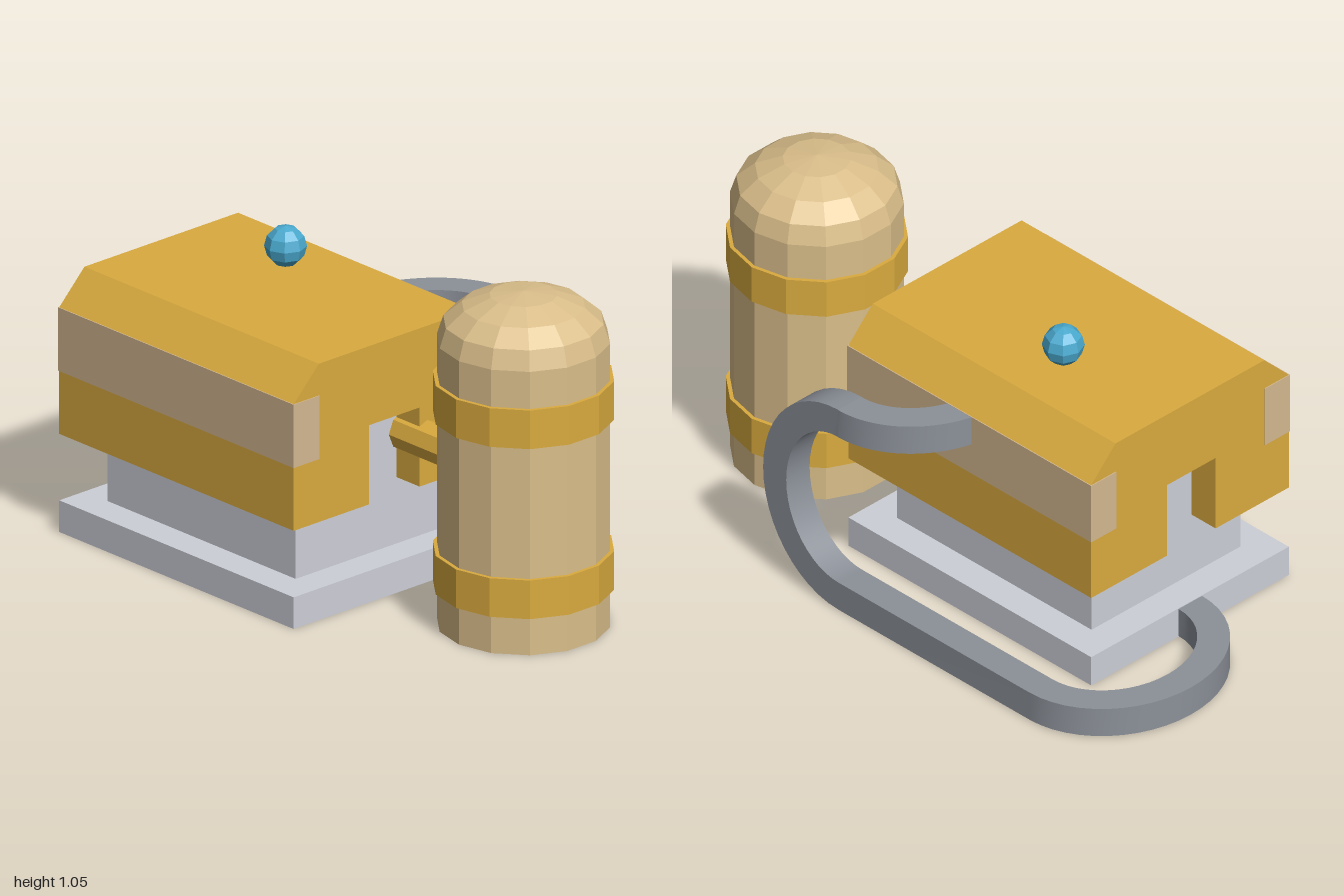
import * as THREE from 'three';

export function createModel() {
  const model = new THREE.Group();
  const paint = (name, color, extra = {}) => {
    const m = new THREE.MeshStandardMaterial({ color, ...extra });
    m.name = name;
    return m;
  };
  const flat = { flatShading: true };
  const gold = paint('gold', 0xdaab3f, flat);
  const sand = paint('sand', 0xdabe8a, flat);
  const tan = paint('tan', 0xd4b890, flat);
  const paleGray = paint('pale gray', 0xcdcfd8, flat);
  const hoseGray = paint('hose gray', 0x8c9199, { side: THREE.DoubleSide });
  const blue = paint('blue', 0x4aaacf, flat);

  const add = (name, geometry, material, x = 0, y = 0, z = 0) => {
    const mesh = new THREE.Mesh(geometry, material);
    mesh.name = name;
    mesh.position.set(x, y, z);
    model.add(mesh);
    return mesh;
  };
  // Box given by its lower and upper corners
  const box = (name, material, [x0, y0, z0], [x1, y1, z1]) =>
    add(name, new THREE.BoxGeometry(x1 - x0, y1 - y0, z1 - z0), material,
      (x0 + x1) / 2, (y0 + y1) / 2, (z0 + z1) / 2);

  // Plinth and inner column
  box('basePlate', paleGray, [-0.69, 0, -0.28], [0.32, 0.1, 0.53]);
  box('innerColumn', paleGray, [-0.59, 0.1, -0.18], [0.22, 0.56, 0.43]);

  // Housing: chamfered section with a slot from z0 to z1, open at the bottom
  const section = (name, x0, x1, z0, z1) => {
    const outline = [[0.53, 0.31], [0.53, 0.71], [0.43, 0.81], [-0.18, 0.81], [-0.28, 0.71],
      [-0.28, 0.31], [z0, 0.31], [z0, 0.56], [z1, 0.56], [z1, 0.31]];
    const shape = new THREE.Shape(outline.map(([z, y]) => new THREE.Vector2(-z, y)));
    const geometry = new THREE.ExtrudeGeometry(shape, { depth: x1 - x0, bevelEnabled: false });
    geometry.rotateY(Math.PI / 2);
    add(name, geometry, gold, x0);
  };
  section('housingShell', -0.59, 0.22, -0.18, 0.43);
  section('rightEndWall', -0.69, -0.59, 0.03, 0.23);
  section('leftEndWall', 0.22, 0.32, 0.03, 0.23);

  // Pale strips wrapping the front and back edges
  const lip = 0.003;
  box('frontStrip', tan, [-0.69 - lip, 0.51, 0.43], [0.32 + lip, 0.71, 0.53 + lip]);
  box('backStrip', tan, [-0.69 - lip, 0.51, -0.28 - lip], [0.32 + lip, 0.71, -0.18]);

  // Knob on top
  add('topKnob', new THREE.SphereGeometry(0.063, 8, 6), blue, -0.29, 0.878, 0);

  // Domed tank with two bands, joined by a short pipe
  const tankX = 0.735;
  const profile = [[0, 0], [0.256, 0], [0.256, 0.895], [0.237, 0.955], [0.182, 1.003],
    [0.1, 1.036], [0, 1.047]].map(([r, y]) => new THREE.Vector2(r, y));
  add('tank', new THREE.LatheGeometry(profile, 14), sand, tankX);
  for (const [name, y] of [['lowerBand', 0.18], ['upperBand', 0.717]]) {
    add(name, new THREE.CylinderGeometry(0.268, 0.268, 0.122, 14), gold, tankX, y);
  }
  const pipe = new THREE.CylinderGeometry(0.06, 0.06, 0.31, 8);
  pipe.rotateZ(Math.PI / 2);
  add('connectingPipe', pipe, gold, 0.365, 0.452, 0);

  // Hose: square section carried along three bends
  const V = (x, y, z) => new THREE.Vector3(x, y, z);
  const RX = 0.265, RB = 0.306, steps = 24;
  const stations = [];
  const station = (p, side, along) =>
    stations.push({ p, a: side, b: along.clone().cross(side).normalize() });
  const flatBend = (cx, y, from, to) => {
    for (let i = 0; i <= steps; i++) {
      const t = from + (to - from) * i / steps, c = Math.cos(t), s = Math.sin(t);
      const side = V(-c / RX, 0, s / RB).normalize();
      station(V(cx - RX * c, y, -0.18 + RB * s), side, V(RX * s, 0, RB * c).multiplyScalar(Math.sign(to - from)));
    }
  };
  flatBend(-0.69, 0.05, Math.PI / 2, -Math.PI / 2);
  for (let i = 0; i <= steps; i++) {
    const t = -Math.PI / 2 + Math.PI * i / steps, c = Math.cos(t), s = Math.sin(t);
    station(V(0.105 + RX * c, 0.355 + RB * s, -0.485), V(0, 0, -1), V(-RX * s, RB * c, 0));
  }
  flatBend(0.105, 0.661, -Math.PI / 2, 0);

  const H = 0.048;
  const corners = [[1, 1], [-1, 1], [-1, -1], [1, -1]];
  const positions = [], index = [];
  for (let k = 0; k < 4; k++) {
    const start = positions.length / 3;
    stations.forEach(({ p, a, b }, i) => {
      for (const [u, v] of [corners[k], corners[(k + 1) % 4]]) {
        const q = p.clone().addScaledVector(a, u * H).addScaledVector(b, v * H);
        positions.push(q.x, q.y, q.z);
      }
      if (i > 0) {
        const n = start + 2 * i;
        index.push(n - 2, n - 1, n, n - 1, n + 1, n);
      }
    });
  }
  // Wind the faces outward, checked on the first side
  const at = (i) => V(positions[3 * i], positions[3 * i + 1], positions[3 * i + 2]);
  const normal = at(index[1]).sub(at(index[0])).cross(at(index[2]).sub(at(index[0])));
  if (normal.dot(stations[0].b) < 0) index.reverse();
  const hose = new THREE.BufferGeometry();
  hose.setAttribute('position', new THREE.Float32BufferAttribute(positions, 3));
  hose.setIndex(index);
  hose.computeVertexNormals();
  add('hose', hose, hoseGray);

  return model;
}
